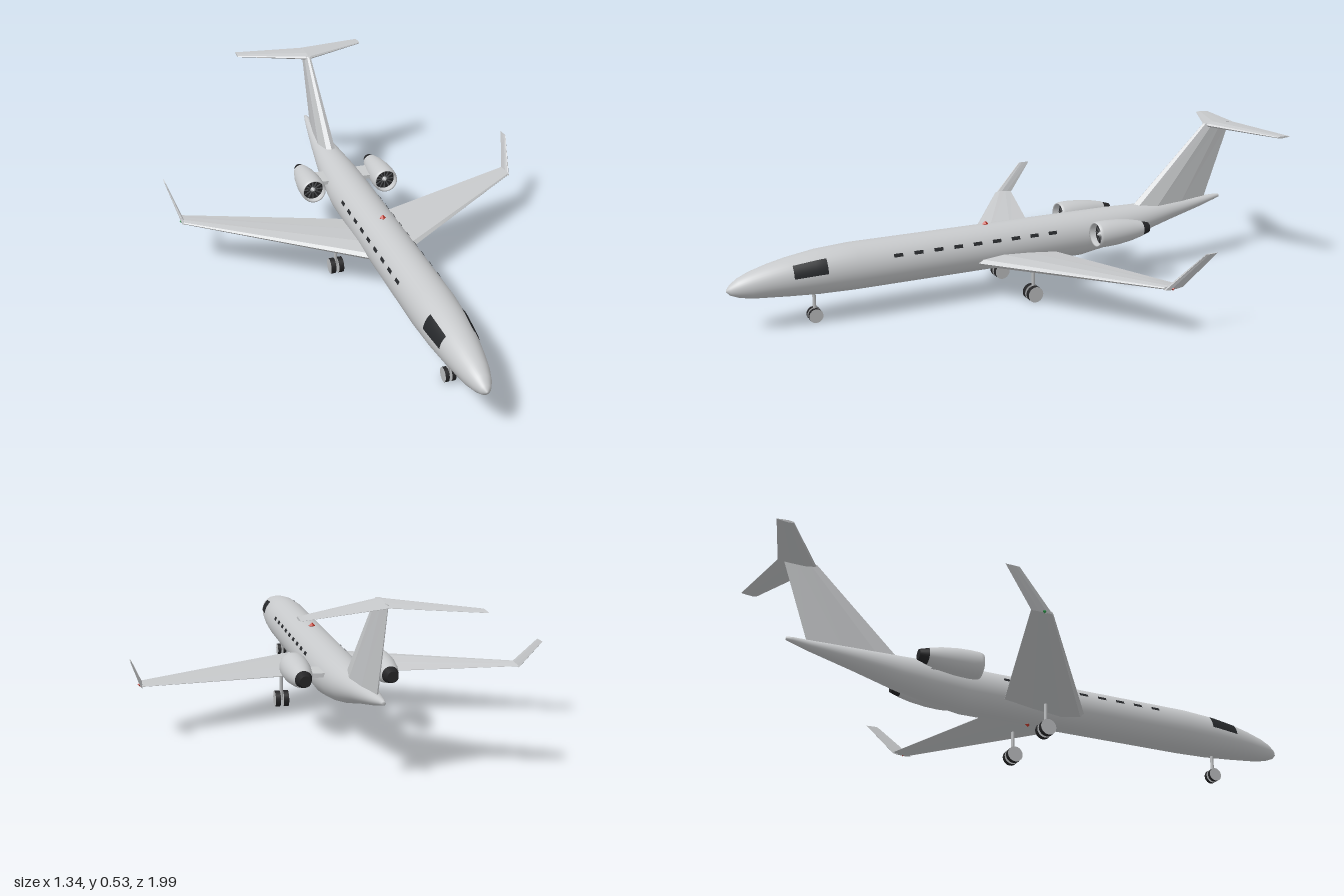
import * as THREE from 'three';

const mat = (name, color, side = THREE.FrontSide) => {
  const m = new THREE.MeshStandardMaterial({ color, side });
  m.name = name;
  return m;
};

// Skin closed rings of points, cap both ends, face outward
function loft(rings, smooth) {
  const n = rings[0].length, pts = rings.flat(), idx = [];
  for (let i = 0; i < rings.length - 1; i++)
    for (let j = 0; j < n; j++) {
      const a = i * n + j, b = i * n + (j + 1) % n;
      idx.push(a, b, b + n, a, b + n, a + n);
    }
  const last = (rings.length - 1) * n;
  for (let j = 1; j < n - 1; j++) idx.push(0, j + 1, j, last, last + j, last + j + 1);
  let volume = 0;
  for (let i = 0; i < idx.length; i += 3)
    volume += pts[idx[i]].dot(pts[idx[i + 1]].clone().cross(pts[idx[i + 2]]));
  if (volume < 0) idx.reverse();
  let g = new THREE.BufferGeometry().setFromPoints(pts);
  g.setIndex(idx);
  if (!smooth) g = g.toNonIndexed();
  g.computeVertexNormals();
  return g;
}

// Aerofoil ring: leading edge (x, y, z), chord towards -z, half thickness t along (nx, ny)
const FOIL = [[0, 0], [0.05, 0.6], [0.3, 1], [0.65, 0.65], [1, 0.06],
  [1, -0.06], [0.65, -0.65], [0.3, -1], [0.05, -0.6]];
const foil = (x, y, z, chord, t, nx = 0, ny = 1) =>
  FOIL.map(([c, h]) => new THREE.Vector3(x + h * t * nx, y + h * t * ny, z - c * chord));

// Fuselage stations: z, centre y, half width, half height
const BODY = [
  [0.997, 0.15, 0.003, 0.003], [0.985, 0.151, 0.017, 0.017], [0.96, 0.155, 0.03, 0.031],
  [0.92, 0.159, 0.042, 0.044], [0.86, 0.165, 0.053, 0.055], [0.8, 0.169, 0.062, 0.064],
  [0.7, 0.173, 0.072, 0.075], [0.58, 0.175, 0.078, 0.08], [-0.27, 0.175, 0.078, 0.08],
  [-0.4, 0.185, 0.071, 0.07], [-0.5, 0.195, 0.061, 0.058], [-0.65, 0.215, 0.042, 0.037],
  [-0.8, 0.233, 0.02, 0.018], [-0.86, 0.242, 0.01, 0.01], [-0.88, 0.244, 0.006, 0.006]];

function bodyPoint(z, angle, lift = 0) {
  let i = 0;
  while (i < BODY.length - 2 && z < BODY[i + 1][0]) i++;
  const a = BODY[i], b = BODY[i + 1], k = (a[0] - z) / (a[0] - b[0]);
  const [cy, rx, ry] = [1, 2, 3].map(j => a[j] + (b[j] - a[j]) * k);
  return new THREE.Vector3((rx + lift) * Math.cos(angle), cy + (ry + lift) * Math.sin(angle), z);
}

// Thin pane hugging the fuselage
function pane(z0, z1, a0, a1, s) {
  const g = new THREE.PlaneGeometry(1, 1, 6, 8), p = g.attributes.position;
  for (let i = 0; i < p.count; i++) {
    const v = bodyPoint(z0 + (z1 - z0) * (p.getX(i) + 0.5), a0 + (a1 - a0) * (p.getY(i) + 0.5), 0.002);
    p.setXYZ(i, v.x * s, v.y, v.z);
  }
  g.computeVertexNormals();
  return g;
}

export function createModel() {
  const model = new THREE.Group();
  model.name = 'businessJet';
  const paint = mat('paleGreyPaint', 0xc8cacc);
  const metal = mat('gearMetal', 0xb8babc);
  const glass = mat('darkGlass', 0x26282b, THREE.DoubleSide);
  const black = mat('blackRubber', 0x242426);
  const blade = mat('fanGrey', 0x55575a);
  const red = mat('redLight', 0xc0392b);
  const green = mat('greenLight', 0x2f9e4f);

  const add = (parent, name, geo, material, x = 0, y = 0, z = 0) => {
    const m = new THREE.Mesh(geo, material);
    m.name = name;
    m.position.set(x, y, z);
    parent.add(m);
    return m;
  };
  const group = (name, x = 0, y = 0, z = 0) => {
    const g = new THREE.Group();
    g.name = name;
    g.position.set(x, y, z);
    model.add(g);
    return g;
  };

  // Fuselage
  const SIDES = 36;
  add(model, 'fuselage', loft(BODY.map(([z]) =>
    Array.from({ length: SIDES }, (_, i) => bodyPoint(z, i / SIDES * Math.PI * 2))), true), paint);

  // Fin
  add(model, 'fin', loft([foil(0, 0.235, -0.488, 0.32, 0.03, 1, 0),
    foil(0, 0.53, -0.797, 0.117, 0.012, 1, 0)]), paint);

  // Landing gear leg with a pair of wheels
  const gear = (name, x, z, r, top, offset, width) => {
    const g = group(name, x, 0, z);
    add(g, 'strut', new THREE.CylinderGeometry(0.006, 0.006, top - r, 12), metal, 0, (top + r) / 2);
    add(g, 'axle', new THREE.CylinderGeometry(0.005, 0.005, offset * 2, 10).rotateZ(Math.PI / 2), metal, 0, r);
    for (const s of [1, -1])
      add(g, 'wheel', new THREE.CylinderGeometry(r, r, width, 20).rotateZ(Math.PI / 2),
        [black, metal, metal], s * offset, r);
  };
  gear('noseGear', 0, 0.713, 0.024, 0.11, 0.011, 0.013);

  for (const s of [1, -1]) {
    const side = s > 0 ? 'left' : 'right';

    // Wing and winglet
    add(model, side + 'Wing', loft([foil(s * 0.03, 0.139, 0.18, 0.315, 0.021),
      foil(s * 0.63, 0.173, -0.235, 0.07, 0.006)]), paint);
    add(model, side + 'Winglet', loft([foil(s * 0.63, 0.168, -0.235, 0.07, 0.006, 0.93, -0.36 * s),
      foil(s * 0.668, 0.279, -0.36, 0.045, 0.002, 0.93, -0.36 * s)]), paint);
    add(model, side + 'WingtipLight', new THREE.OctahedronGeometry(0.007), s > 0 ? red : green,
      s * 0.635, 0.17, -0.265);

    // Tailplane
    add(model, side + 'Tailplane', loft([foil(0, 0.524, -0.8, 0.133, 0.01),
      foil(s * 0.257, 0.513, -0.942, 0.055, 0.004)]), paint);

    // Cockpit and cabin windows
    add(model, side + 'CockpitWindow', pane(0.79, 0.68, 0.13, 0.82, s), glass);
    for (let i = 0; i < 9; i++) {
      const z = 0.44 - i * 0.0717;
      add(model, side + 'CabinWindow', pane(z + 0.016, z - 0.016, 0.4, 0.55, s), glass);
    }

    // Engine
    const e = group(side + 'Engine', s * 0.14, 0.207, -0.265);
    const profile = [[0.028, -0.185], [0.038, -0.14], [0.045, -0.085], [0.047, -0.04],
      [0.046, -0.012], [0.043, 0], [0.039, -0.003], [0.038, -0.03]];
    add(e, 'nacelle', new THREE.LatheGeometry(profile.map(p => new THREE.Vector2(...p)), 32)
      .rotateX(Math.PI / 2), paint);
    add(e, 'nozzle', new THREE.CylinderGeometry(0.028, 0.018, 0.034, 24).rotateX(Math.PI / 2),
      black, 0, 0, -0.198);
    add(e, 'intake', new THREE.CircleGeometry(0.039, 32), black, 0, 0, -0.024);
    add(e, 'spinner', new THREE.ConeGeometry(0.01, 0.016, 16).rotateX(Math.PI / 2), metal, 0, 0, -0.014);
    for (let i = 0; i < 12; i++) {
      const b = add(e, 'fanBlade', new THREE.BoxGeometry(0.004, 0.026, 0.002).translate(0, 0.022, 0),
        blade, 0, 0, -0.022);
      b.rotation.z = i / 12 * Math.PI * 2;
    }
    add(e, 'pylon', new THREE.BoxGeometry(0.06, 0.014, 0.088), paint, -s * 0.065, 0, -0.102);

    gear(side + 'MainGear', s * 0.135, -0.025, 0.028, 0.118, 0.0145, 0.018);
  }

  // Beacons
  add(model, 'topBeacon', new THREE.OctahedronGeometry(0.012), red, 0, 0.256, 0.095);
  add(model, 'bellyBeacon', new THREE.OctahedronGeometry(0.009), red, 0, 0.095, -0.03);

  return model;
}
